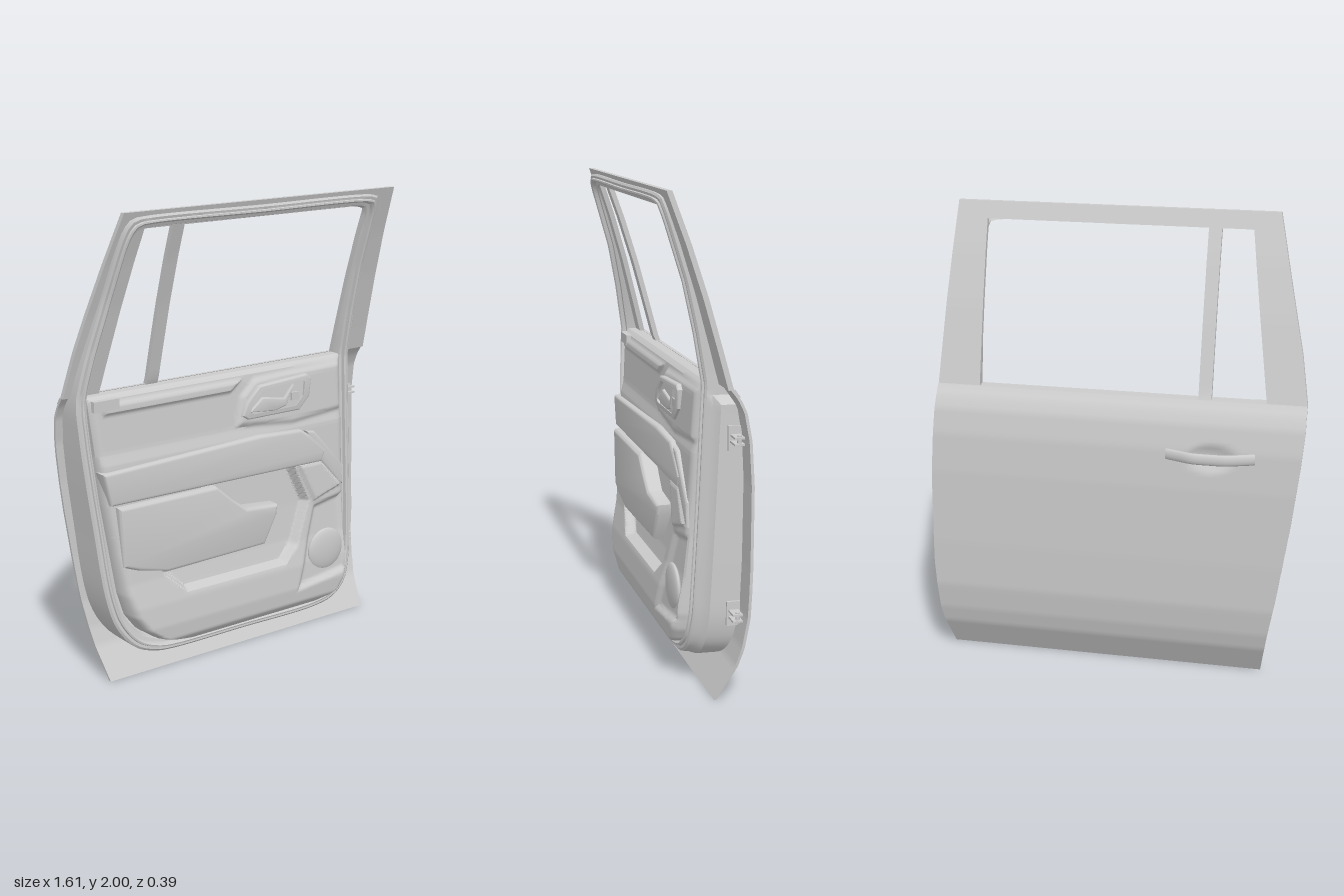
import * as THREE from 'three';
import { toCreasedNormals } from 'three/addons/utils/BufferGeometryUtils.js';

const material = new THREE.MeshStandardMaterial({ color: 0xcccccc, side: THREE.DoubleSide });

// Piecewise profile: value as a function of height
const profile = (pts) => (y) => {
  if (y <= pts[0][0]) return pts[0][1];
  for (let i = 1; i < pts.length; i++) {
    const [y0, v0] = pts[i - 1], [y1, v1] = pts[i];
    if (y <= y1) return v0 + (v1 - v0) * (y - y0) / (y1 - y0);
  }
  return pts[pts.length - 1][1];
};

// Door surfaces and edges
const outerZ = profile([[0, -0.02], [0.14, -0.1], [0.22, -0.125], [0.34, -0.145], [0.55, -0.152], [0.88, -0.155],
  [1.05, -0.147], [1.16, -0.128], [1.21, -0.105], [1.25, -0.075], [1.4, -0.035], [1.6, 0.02], [1.8, 0.083], [2, 0.155]]);
const shellZ = profile([[0.1, 0.065], [0.3, 0.045], [0.8, 0.02], [1.25, 0], [1.45, 0.035], [1.65, 0.08], [1.85, 0.143], [1.98, 0.186]]);
const skinLeft = profile([[0, -0.64], [0.2, -0.672], [0.4, -0.708], [0.75, -0.76], [1, -0.79], [1.15, -0.803], [1.25, -0.802], [1.45, -0.77], [2, -0.645]]);
const skinRight = profile([[0, 0.76], [0.2, 0.79], [0.45, 0.803], [0.85, 0.797], [1.2, 0.778], [1.6, 0.755], [2, 0.728]]);
const windowLeft = profile([[1.25, -0.635], [1.93, -0.537]]);
const windowRight = profile([[1.25, 0.592], [1.93, 0.597]]);

function mesh(name, geometry, crease = 0.6) {
  const m = new THREE.Mesh(crease ? toCreasedNormals(geometry, crease) : geometry, material);
  m.name = name;
  return m;
}

// Skin a stack of closed rings; optional caps join the two halves of an end ring
function loft(rings, caps) {
  const n = rings[0].length, index = [];
  const quad = (a, b, c, d) => index.push(a, b, c, a, c, d);
  for (let r = 0; r < rings.length - 1; r++) {
    for (let i = 0; i < n; i++) {
      const j = (i + 1) % n, p = r * n, q = p + n;
      quad(p + i, p + j, q + j, q + i);
    }
  }
  if (caps) {
    const t = (rings.length - 1) * n;
    for (let i = 0; i < n / 2 - 1; i++) {
      quad(t + i, t + i + 1, t + n - 2 - i, t + n - 1 - i);
      quad(n - 1 - i, n - 2 - i, i + 1, i);
    }
  }
  const g = new THREE.BufferGeometry();
  g.setAttribute('position', new THREE.Float32BufferAttribute(rings.flat(2), 3));
  g.setIndex(index);
  g.computeVertexNormals();
  return g;
}

// Curved panel between two heights, two side edges and two depth rules
function slab(name, y0, y1, rows, cols, left, right, front, back) {
  const rings = [];
  for (let r = 0; r <= rows; r++) {
    const y = y0 + (y1 - y0) * r / rows, a = left(y), b = right(y), f = [], k = [];
    for (let c = 0; c <= cols; c++) {
      const x = a + (b - a) * c / cols;
      f.push([x, y, front(x, y)]);
      k.unshift([x, y, back(x, y)]);
    }
    rings.push([...f, ...k]);
  }
  return mesh(name, loft(rings, true));
}

// Signed distance to a polygon, positive inside
function inside(poly, x, y) {
  let d = Infinity, hit = false;
  poly.forEach(([ax, ay], i) => {
    const [bx, by] = poly[(i + 1) % poly.length], ex = bx - ax, ey = by - ay;
    const t = Math.min(1, Math.max(0, ((x - ax) * ex + (y - ay) * ey) / (ex * ex + ey * ey)));
    d = Math.min(d, Math.hypot(x - ax - t * ex, y - ay - t * ey));
    if ((ay > y) !== (by > y) && x < ax + ex * (y - ay) / ey) hit = !hit;
  });
  return hit ? d : -d;
}

// Bevelled flat plate from z0 to z1
function plate(name, pts, z0, z1, bevel = 0.01, hole) {
  const toVec = (p) => new THREE.Vector2(...p);
  const shape = new THREE.Shape(pts.map(toVec));
  if (hole) shape.holes.push(new THREE.Path(hole.map(toVec)));
  const g = new THREE.ExtrudeGeometry(shape, { depth: z1 - z0 - bevel, bevelThickness: bevel, bevelSize: bevel, bevelOffset: -bevel, bevelSegments: 3 });
  return mesh(name, g.translate(0, 0, z0));
}

function box(name, w, h, d, x, y, z) {
  return mesh(name, new THREE.BoxGeometry(w, h, d).translate(x, y, z), 0);
}

// Inner shell with weather seal, running round the window frame and the lower door
function shellGeometry() {
  const outline = [[-0.36, 0.105], [0, 0.103], [0.42, 0.103], [0.53, 0.125], [0.6, 0.18], [0.635, 0.28], [0.645, 0.45], [0.645, 1.2],
    [0.65, 1.8], [0.648, 1.93], [0.638, 1.967], [0.6, 1.977], [0, 1.98], [-0.56, 1.98], [-0.605, 1.972], [-0.632, 1.94], [-0.69, 1.65],
    [-0.77, 1.25], [-0.765, 1.1], [-0.72, 0.7], [-0.675, 0.38], [-0.63, 0.25], [-0.55, 0.155], [-0.45, 0.115]];
  const pts = new THREE.CatmullRomCurve3(outline.map(([x, y]) => new THREE.Vector3(x, y, 0)), true).getSpacedPoints(200).slice(0, 200);
  const ring = (inset, z, flare = 0) => pts.map(({ x, y }) => {
    const px = -0.03 + (x + 0.03) * (1 - inset / 0.67), py = 1.04 + (y - 1.04) * (1 - inset / 0.94);
    return [px + (x > 0.4 && y < 1.2 ? flare : 0), py, z(py)];
  });
  const lift = (h) => (y) => shellZ(y) + h;
  const back = (y) => outerZ(y) + 0.008;
  return loft([ring(0, back, 0.045), ring(0, (y) => Math.max(back(y), shellZ(y) - 0.055), 0.04), ring(0, lift(-0.03), 0.01), ring(0, lift(-0.008)),
    ring(0.008, lift(0)), ring(0.018, lift(0)), ring(0.02, lift(0.008)), ring(0.026, lift(0.011)), ring(0.032, lift(0.006)),
    ring(0.034, lift(-0.01)), ring(0.046, lift(-0.012)), ring(0.05, lift(-0.025)), ring(0.052, back)], false);
}

// Trim panel relief
const trimLeft = profile([[0.14, -0.31], [0.155, -0.39], [0.18, -0.46], [0.23, -0.53], [0.3, -0.58], [0.4, -0.61], [0.8, -0.67], [1.25, -0.72]]);
const trimRight = profile([[0.14, 0.44], [0.155, 0.5], [0.18, 0.545], [0.23, 0.575], [0.3, 0.59], [1.25, 0.595]]);
const trimBase = profile([[0.14, 0.08], [0.17, 0.106], [0.24, 0.112], [0.34, 0.102], [0.45, 0.078], [0.6, 0.06], [0.78, 0.046],
  [0.96, 0.035], [1.01, 0.02], [1.2, 0.006], [1.235, 0], [1.25, -0.02]]);
const reliefs = [ // [height, edge width, polygon]
  [-0.045, 0.02, [[-0.43, 0.47], [-0.31, 0.36], [0.22, 0.36], [0.3, 0.43], [0.38, 0.62], [0.3, 0.8], [-0.2, 0.8]]],
  [0.014, 0.015, [[0.31, 0.8], [0.45, 0.8], [0.57, 0.66], [0.46, 0.63], [0.4, 0.61]]],
  [-0.02, 0.03, [[0.4, 0.6], [0.58, 0.63], [0.58, 0.26], [0.27, 0.22]]],
  [0.014, 0.02, [[-0.66, 1.165], [-0.68, 1.225], [0.06, 1.225], [-0.02, 1.165]]],
  [0.016, 0.03, [[-0.01, 1.01], [0.02, 1.15], [0.1, 1.22], [0.59, 1.235], [0.59, 1.0], [0.3, 0.98]]],
];
function trimZ(x, y) {
  let z = trimBase(y);
  for (const [h, w, poly] of reliefs) z += h * THREE.MathUtils.smoothstep(inside(poly, x, y), 0, w);
  const edge = Math.min(1, Math.min(x - trimLeft(y), trimRight(y) - x) / 0.04);
  const low = Math.min(z, shellZ(y) - 0.012);
  return low + (z - low) * Math.sqrt(Math.max(0, edge * (2 - edge)));
}

export function createModel() {
  const door = new THREE.Group();
  door.name = 'vehicleDoor';

  // Outer skin with a shallow hand recess, and the window surround
  const skinBack = (x, y) => outerZ(y) + 0.022 * Math.max(0, 1 - ((x + 0.42) / 0.11) ** 2 - ((y - 1.02) / 0.06) ** 2);
  const frameBack = (x, y) => outerZ(y);
  const frameFront = (x, y) => outerZ(y) + 0.022;
  door.add(
    slab('outerSkin', 0, 1.25, 80, 70, skinLeft, skinRight, (x, y) => skinBack(x, y) + 0.012, skinBack),
    slab('rearPillar', 1.25, 2, 24, 2, skinLeft, windowLeft, frameFront, frameBack),
    slab('frontPillar', 1.25, 2, 24, 2, windowRight, skinRight, frameFront, frameBack),
    slab('windowHeader', 1.93, 2, 4, 12, windowLeft, windowRight, frameFront, frameBack),
    slab('windowDivider', 1.2, 1.96, 20, 2, () => -0.405, () => -0.35, frameFront, frameBack),
    slab('beltMoulding', 1.222, 1.252, 3, 20, skinLeft, skinRight, (x, y) => outerZ(y) + 0.01, (x, y) => outerZ(y) - 0.006),
    mesh('innerShell', shellGeometry()),
    slab('trimPanel', 0.14, 1.25, 130, 130, trimLeft, trimRight, trimZ, (x, y) => Math.min(shellZ(y) - 0.035, trimBase(y) - 0.05)),
  );

  // Armrest and pull
  door.add(
    plate('armrest', [[-0.69, 0.94], [0.1, 0.968], [0.33, 0.957], [0.38, 0.925], [0.47, 0.84], [0.45, 0.79], [-0.655, 0.8]], 0, 0.062, 0.014),
    plate('armrestFrontBrace', [[0.36, 0.945], [0.41, 0.935], [0.57, 0.76], [0.58, 0.66], [0.55, 0.67], [0.44, 0.8]], 0, 0.056, 0.01),
    plate('pullHandle', [[-0.63, 0.79], [-0.14, 0.79], [-0.06, 0.72], [0.02, 0.66], [0.19, 0.645], [0.185, 0.6], [0.12, 0.475],
      [-0.4, 0.465], [-0.54, 0.5], [-0.61, 0.53]], 0.005, 0.078, 0.016),
  );

  // Inside release lever in its bezel
  const bezel = [[0.02, 1.065], [0.04, 1.12], [0.11, 1.185], [0.37, 1.2], [0.395, 1.18], [0.385, 1.1], [0.33, 1.045], [0.05, 1.045]];
  const shrink = (k) => bezel.map(([x, y]) => [0.21 + (x - 0.21) * k, 1.122 + (y - 1.122) * k]);
  door.add(
    plate('releaseBezel', bezel, 0, 0.045, 0.008, shrink(0.84)),
    plate('releaseLever', [[0.06, 1.075], [0.13, 1.13], [0.25, 1.11], [0.3, 1.165], [0.26, 1.075], [0.2, 1.06]], 0.01, 0.04, 0.006),
    box('lockSwitch', 0.04, 0.035, 0.02, 0.31, 1.11, 0.028),
    box('trimEndBlock', 0.12, 0.045, 0.04, -0.645, 1.215, 0.002),
  );

  // Speaker grille
  const speaker = mesh('speakerGrille', new THREE.SphereGeometry(0.098, 40, 20), 0);
  speaker.scale.z = 0.22;
  speaker.position.set(0.46, 0.38, 0.078);
  door.add(speaker);

  // Hinges
  for (const [name, y] of [['upperHinge', 1.045], ['lowerHinge', 0.33]]) {
    const hinge = new THREE.Group();
    hinge.name = name;
    hinge.add(box('hingePlate', 0.012, 0.1, 0.055, 0.692, y, -0.105));
    for (const dy of [-0.013, 0.013]) hinge.add(box('hingeArm', 0.07, 0.008, 0.04, 0.725, y + dy, -0.105));
    hinge.add(mesh('hingePin', new THREE.CylinderGeometry(0.009, 0.009, 0.045, 16).translate(0.745, y, -0.108)));
    door.add(hinge);
  }

  // Outside handle: arched grip, flattened top to bottom at its ends
  const arch = new THREE.CatmullRomCurve3([[-0.6, -0.145], [-0.55, -0.163], [-0.48, -0.184], [-0.41, -0.187], [-0.34, -0.184], [-0.28, -0.163], [-0.23, -0.145]]
    .map(([x, z]) => new THREE.Vector3(x, 0, z)));
  const grip = mesh('outsideHandle', new THREE.TubeGeometry(arch, 40, 0.011, 14), 0);
  grip.scale.y = 2.2;
  grip.position.y = 1.03;
  door.add(grip);

  return door;
}
